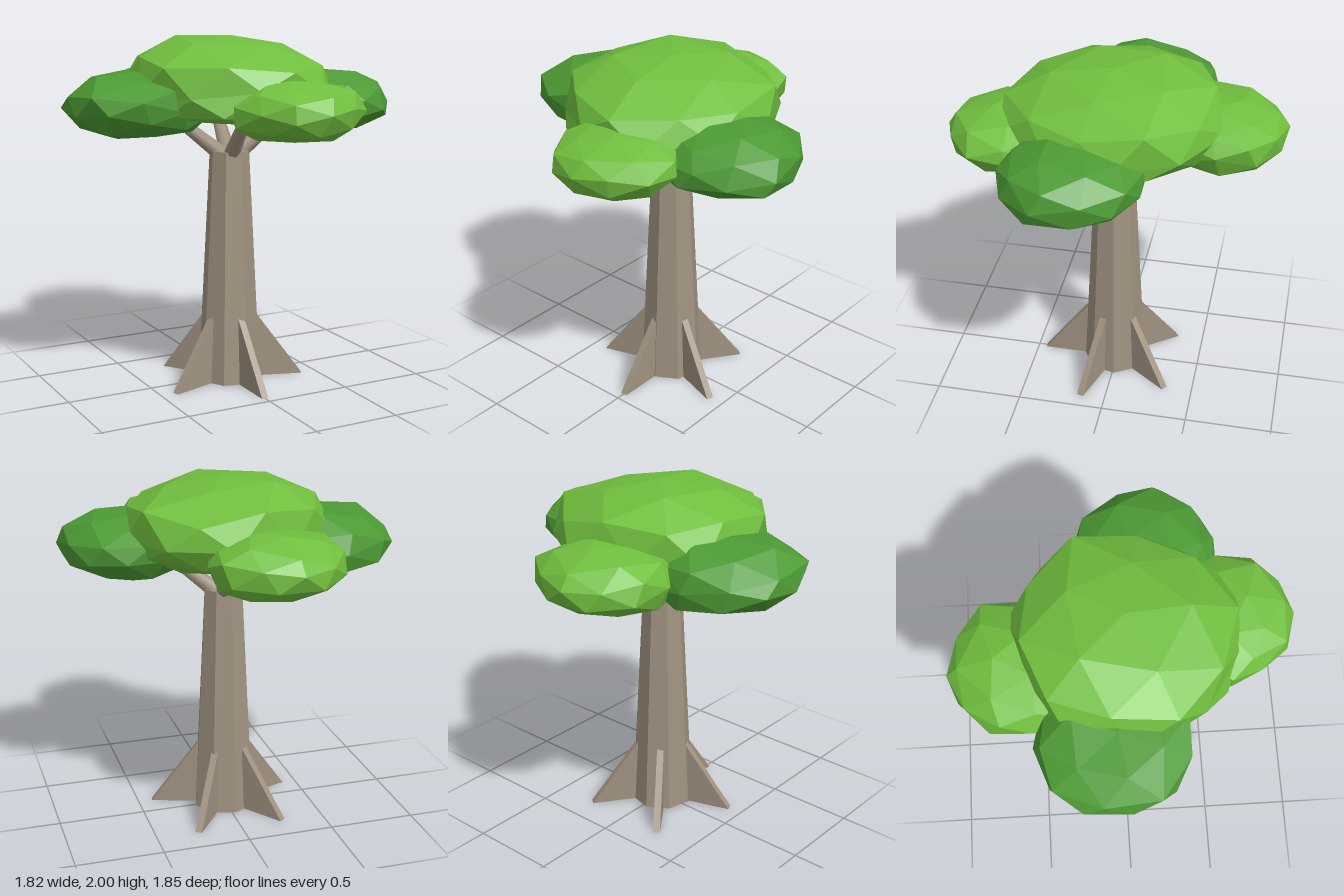
import * as THREE from 'three';
import { mergeVertices } from 'three/addons/utils/BufferGeometryUtils.js';

const bark = new THREE.MeshStandardMaterial({ color: 0xa09280, flatShading: true });
const smoothBark = new THREE.MeshStandardMaterial({ color: 0xa09280 });
const lightLeaf = new THREE.MeshStandardMaterial({ color: 0x70be3e, flatShading: true });
const darkLeaf = new THREE.MeshStandardMaterial({ color: 0x4d9a34, flatShading: true });
const TRUNK_Z = 0.015;

function seeded(seed) {
  return () => {
    seed = (seed * 16807) % 2147483647;
    return seed / 2147483647;
  };
}

// distance from a centre to a plan outline in the direction (dx, dz)
function reach(plan, cx, cz, dx, dz) {
  for (let i = 0; i < plan.length; i++) {
    const [ax, az] = plan[i];
    const [bx, bz] = plan[(i + 1) % plan.length];
    const ex = bx - ax, ez = bz - az;
    const det = dx * ez - dz * ex;
    if (Math.abs(det) < 1e-9) continue;
    const t = ((ax - cx) * ez - (az - cz) * ex) / det;
    const s = ((ax - cx) * dz - (az - cz) * dx) / det;
    if (t > 0 && s >= -1e-6 && s <= 1 + 1e-6) return t;
  }
  return 0;
}

// faceted leaf clump: a low-poly ball stretched to a plan outline and a height range
function clump({ name, material, centre: [cx, cz], y: [bottom, middle, top], plan, seed }) {
  const rand = seeded(seed);
  let geo = new THREE.IcosahedronGeometry(1, 1).rotateX(seed * 0.7).rotateY(seed * 1.3);
  geo.deleteAttribute('normal');
  geo.deleteAttribute('uv');
  geo = mergeVertices(geo, 1e-4);
  const p = geo.attributes.position;
  for (let i = 0; i < p.count; i++) {
    const x = p.getX(i), z = p.getZ(i);
    const h = Math.hypot(x, z) || 1e-6;
    const r = reach(plan, cx, cz, x / h, z / h) * Math.min(1, h * 1.04) * (0.98 + 0.07 * rand());
    const v = Math.max(-1, Math.min(1, p.getY(i) * 1.06 + (rand() - 0.5) * 0.2));
    const y = middle + v * (v > 0 ? top - middle : middle - bottom);
    p.setXYZ(i, cx + (x / h) * r, y, cz + (z / h) * r);
  }
  geo = geo.toNonIndexed();
  geo.computeVertexNormals();
  const mesh = new THREE.Mesh(geo, material);
  mesh.name = name;
  return mesh;
}

// tapered limb between two points
function limb(name, material, from, to, r0, r1, sides) {
  const dir = to.clone().sub(from);
  const mesh = new THREE.Mesh(new THREE.CylinderGeometry(r1, r0, dir.length(), sides), material);
  mesh.position.copy(from).add(to).multiplyScalar(0.5);
  mesh.quaternion.setFromUnitVectors(new THREE.Vector3(0, 1, 0), dir.normalize());
  mesh.name = name;
  return mesh;
}

export function createModel() {
  const tree = new THREE.Group();
  tree.name = 'tree';

  // eight-sided trunk, turned slightly
  const trunk = limb('trunk', bark, new THREE.Vector3(0, 0, TRUNK_Z), new THREE.Vector3(0, 1.35, TRUNK_Z), 0.183, 0.114, 8);
  trunk.rotation.y = 0.14;
  tree.add(trunk);

  // five buttress roots around the foot
  const fin = new THREE.Shape([[0.08, 0], [0.435, 0], [0.15, 0.39], [0.08, 0.39]].map(([x, y]) => new THREE.Vector2(x, y)));
  const finGeo = new THREE.ExtrudeGeometry(fin, { depth: 0.04, bevelEnabled: false }).translate(0, 0, -0.02);
  for (let i = 0; i < 5; i++) {
    const root = new THREE.Mesh(finGeo, bark);
    root.name = `buttressRoot${i + 1}`;
    root.position.z = TRUNK_Z;
    root.rotation.y = -Math.PI / 2 - (i * Math.PI * 2) / 5;
    tree.add(root);
  }

  // four branches a quarter turn apart, rising into the clumps
  for (let i = 0; i < 4; i++) {
    const a = THREE.MathUtils.degToRad(13 + i * 90);
    const at = (d, y) => new THREE.Vector3(Math.cos(a) * d, y, TRUNK_Z + Math.sin(a) * d);
    tree.add(limb(`branch${i + 1}`, smoothBark, at(0.02, 1.31), at(0.38, 1.6), 0.05, 0.028, 7));
  }

  // leaf clumps; plan points are [x, z]
  const clumps = [
    {
      name: 'crownTop', material: lightLeaf, centre: [0, 0], y: [1.5, 1.71, 2], seed: 3,
      plan: [[0, -0.65], [0.3, -0.52], [0.57, -0.24], [0.55, 0.05], [0.48, 0.34], [0.33, 0.55],
        [0.05, 0.63], [-0.31, 0.55], [-0.54, 0.3], [-0.58, -0.27], [-0.43, -0.41]],
    },
    {
      name: 'crownLeft', material: darkLeaf, centre: [0.48, 0.13], y: [1.44, 1.62, 1.8], seed: 7,
      plan: [[0.55, -0.25], [0.7, -0.19], [0.84, -0.05], [0.91, 0.17], [0.89, 0.36], [0.7, 0.47],
        [0.5, 0.54], [0.25, 0.45], [0.1, 0.2], [0.15, -0.05], [0.32, -0.2]],
    },
    {
      name: 'crownRight', material: darkLeaf, centre: [-0.48, -0.07], y: [1.45, 1.62, 1.82], seed: 11,
      plan: [[-0.88, -0.33], [-0.77, -0.42], [-0.52, -0.51], [-0.25, -0.4], [-0.08, -0.1],
        [-0.2, 0.2], [-0.5, 0.38], [-0.75, 0.24], [-0.91, 0.15], [-0.91, -0.1]],
    },
    {
      name: 'crownBack', material: lightLeaf, centre: [-0.1, -0.53], y: [1.47, 1.63, 1.81], seed: 17,
      plan: [[-0.14, -0.93], [0.14, -0.85], [0.23, -0.75], [0.26, -0.53], [0.15, -0.25],
        [-0.1, -0.15], [-0.38, -0.25], [-0.48, -0.5], [-0.43, -0.75], [-0.34, -0.84]],
    },
    {
      name: 'crownFront', material: lightLeaf, centre: [0.1, 0.54], y: [1.46, 1.62, 1.79], seed: 23,
      plan: [[0.13, 0.92], [0.34, 0.83], [0.44, 0.74], [0.46, 0.5], [0.33, 0.25],
        [0.1, 0.17], [-0.15, 0.28], [-0.26, 0.55], [-0.19, 0.74], [-0.12, 0.84]],
    },
  ];
  clumps.forEach((c) => tree.add(clump(c)));
  return tree;
}
